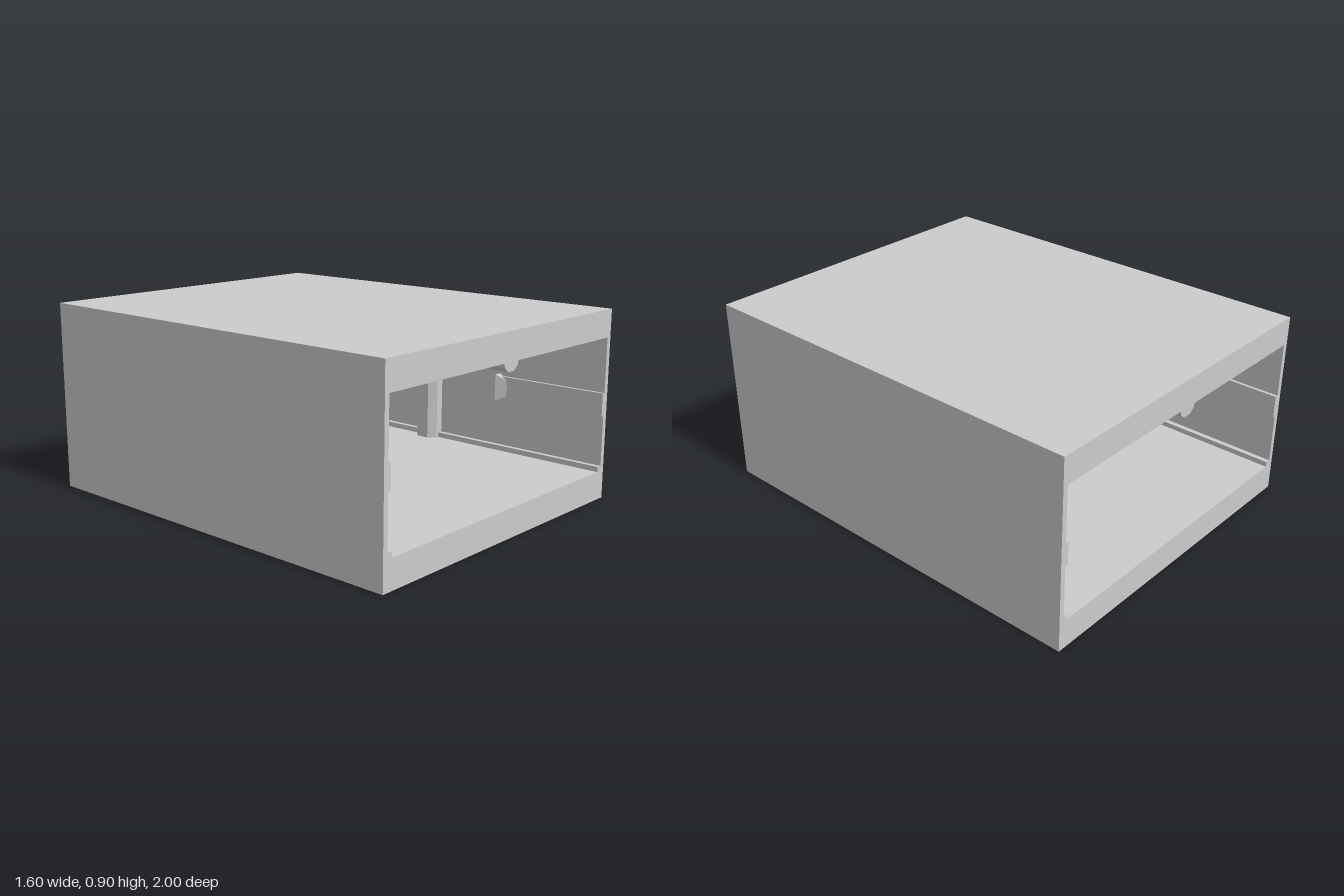
import * as THREE from 'three';

const X = 0.775, TOP = 0.77, FLOOR = 0.135;
const mat = new THREE.MeshStandardMaterial({ color: 0xcccccc, flatShading: true });

function add(group, name, geometry) {
  const mesh = new THREE.Mesh(geometry, mat);
  mesh.name = name;
  group.add(mesh);
  return mesh;
}

// Box shell whose tunnel has floor steps and a guide along the ceiling
function shellGeometry() {
  const s = new THREE.Shape();
  s.moveTo(-0.8, 0).lineTo(0.8, 0).lineTo(0.8, 0.9).lineTo(-0.8, 0.9).closePath();
  const half = [[0.05, TOP], [0.045, 0.75], [0.02, 0.73]];
  const side = [[0.75, FLOOR], [0.75, 0.16], [X, 0.16], [X, TOP], ...half];
  const mirrored = side.map(([x, y]) => [-x, y]).reverse();
  const pts = [...side, ...mirrored].map(([x, y]) => new THREE.Vector2(x, y));
  s.holes.push(new THREE.Path(pts));
  return new THREE.ExtrudeGeometry(s, { depth: 2, bevelEnabled: false }).translate(0, 0, -1);
}

// Inner frame: a chamfered rib swept up one wall, over and down the other
function frameGeometry() {
  const section = [[0, -0.065], [0.04, -0.065], [0.073, -0.03], [0.073, 0.03], [0.04, 0.065], [0, 0.065]];
  const loop = ([o, z]) => [
    [-X + o, FLOOR, z], [-X + o, TOP - o, z], [X - o, TOP - o, z], [X - o, FLOOR, z]];
  const pos = [];
  for (let i = 0; i < section.length - 1; i++) {
    const a = loop(section[i]), b = loop(section[i + 1]);
    for (let j = 0; j < 3; j++) {
      pos.push(...a[j], ...b[j + 1], ...b[j], ...a[j], ...a[j + 1], ...b[j + 1]);
    }
  }
  const g = new THREE.BufferGeometry();
  g.setAttribute('position', new THREE.Float32BufferAttribute(pos, 3));
  g.computeVertexNormals();
  return g;
}

// Stop at the end of a rail, tapered towards the opening
function stopGeometry() {
  const g = new THREE.BoxGeometry(0.08, 0.135, 0.05);
  const p = g.attributes.position;
  for (let i = 0; i < p.count; i++) {
    if (p.getZ(i) > 0) {
      p.setY(i, p.getY(i) * 0.6);
      p.setX(i, p.getX(i) * 0.4);
    }
  }
  g.computeVertexNormals();
  return g;
}

export function createModel() {
  const model = new THREE.Group();
  model.name = 'sleeve';
  add(model, 'shell', shellGeometry());
  add(model, 'innerFrame', frameGeometry());

  // Side rails and stops, at both openings and on both walls
  for (const sx of [-1, 1]) {
    for (const sz of [-1, 1]) {
      const rail = add(model, 'sideRail', new THREE.BoxGeometry(0.03, 0.11, 0.56));
      rail.position.set(sx * X, 0.455, sz * 0.72);
      const stop = add(model, 'railStop', stopGeometry());
      stop.position.set(sx * X, 0.453, sz * 0.445);
      if (sz < 0) stop.rotation.y = Math.PI;
      // keep the buried half of the stop inside the thin wall
      const g = stop.geometry.attributes.position;
      for (let i = 0; i < g.count; i++) {
        const outward = g.getX(i) * sz * sx;
        if (outward > 0.015) g.setX(i, 0.015 * sz * sx);
      }
    }
  }
  return model;
}
